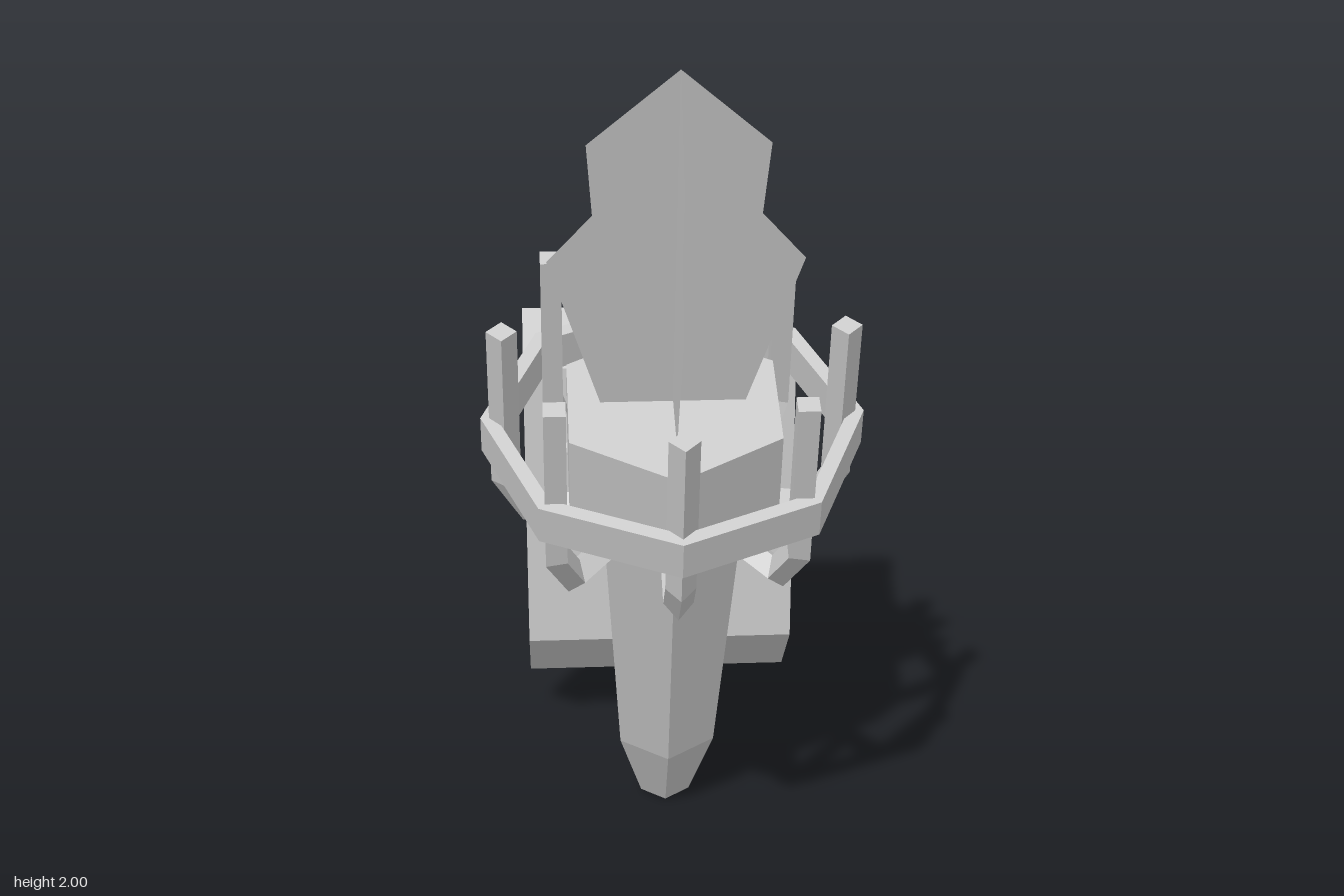
import * as THREE from 'three';

const flat = new THREE.MeshStandardMaterial({ color: 0xcccccc, flatShading: true });
const sheet = new THREE.MeshStandardMaterial({ color: 0xcccccc, side: THREE.DoubleSide });

function add(parent, name, geometry, material = flat) {
  const mesh = new THREE.Mesh(geometry, material);
  mesh.name = name;
  parent.add(mesh);
  return mesh;
}

const vec2 = (list) => list.map(([x, y]) => new THREE.Vector2(x, y));

// Side profile drawn as (-z, y), extruded across x and centred on it
function sideExtrude(shape, width) {
  const g = new THREE.ExtrudeGeometry(shape, { depth: width, bevelEnabled: false, curveSegments: 8 });
  g.translate(0, 0, -width / 2);
  g.rotateY(Math.PI / 2);
  return g;
}

// Diamond-section bar along a path of [radius, height] points, mitred at the bends
function diamondBar(path, r) {
  const pts = vec2(path);
  const positions = [];
  const index = [];
  pts.forEach((p, i) => {
    const a = pts[Math.max(i - 1, 0)];
    const b = pts[Math.min(i + 1, pts.length - 1)];
    const before = (i > 0 ? p.clone().sub(a) : b.clone().sub(p)).normalize();
    const after = (i < pts.length - 1 ? b.clone().sub(p) : before.clone()).normalize();
    const dir = before.clone().add(after).normalize();
    const m = r / dir.dot(before);
    const nx = -dir.y * m;
    const ny = dir.x * m;
    positions.push(0, p.y + ny, p.x + nx, r, p.y, p.x, 0, p.y - ny, p.x - nx, -r, p.y, p.x);
    if (i === 0) return;
    for (let k = 0; k < 4; k++) {
      const c = (i - 1) * 4 + k;
      const d = (i - 1) * 4 + (k + 1) % 4;
      index.push(c, c + 4, d, d, c + 4, d + 4);
    }
  });
  const e = (pts.length - 1) * 4;
  index.push(0, 1, 2, 0, 2, 3, e, e + 2, e + 1, e, e + 3, e + 2);
  const g = new THREE.BufferGeometry();
  g.setAttribute('position', new THREE.Float32BufferAttribute(positions, 3));
  g.setIndex(index);
  g.computeVertexNormals();
  return g;
}

export function createModel() {
  const model = new THREE.Group();
  model.name = 'wallTorch';

  // Wall plate with sloped top and bottom edges
  const plate = new THREE.Shape(vec2([[0.115, 0.32], [0.295, 0.14], [0.295, 1.15], [0.115, 1.06]]));
  add(model, 'wallPlate', sideExtrude(plate, 0.66));

  // Curved hook behind the plate
  const hook = new THREE.Shape();
  hook.moveTo(0.295, 0.515);
  hook.lineTo(0.32, 0.515);
  hook.absellipse(0.32, 0.17, 0.337, 0.345, Math.PI / 2, 0, true);
  hook.lineTo(0.657, 0.14);
  hook.lineTo(0.88, 0.14);
  hook.lineTo(0.88, 0.49);
  hook.absellipse(0.635, 0.49, 0.245, 0.247, 0, Math.PI / 2, false);
  hook.lineTo(0.295, 0.737);
  add(model, 'backHook', sideExtrude(hook, 0.306));

  // Hexagonal rod joining the plate to the handle
  const rod = new THREE.CylinderGeometry(0.1, 0.1, 0.37, 6);
  rod.rotateX(Math.PI / 2);
  add(model, 'supportRod', rod).position.set(0, 0.687, 0.07);

  // Everything on the torch shares one forward-leaning axis
  const torch = new THREE.Group();
  torch.name = 'torch';
  torch.position.set(0, 0.025, 0.075);
  torch.rotation.x = 0.297;
  model.add(torch);

  // Six-sided handle and bowl
  add(torch, 'handle', new THREE.LatheGeometry(
    vec2([[0, 0], [0.068, 0], [0.13, 0.215], [0.175, 0.89]]), 6));
  add(torch, 'bowl', new THREE.LatheGeometry(
    vec2([[0.175, 0.89], [0.265, 1.0], [0.265, 1.23], [0, 1.23]]), 6));

  // Eight-sided ring band
  add(torch, 'ring', new THREE.LatheGeometry(
    vec2([[0.385, 1.1], [0.42, 1.1], [0.42, 1.192], [0.385, 1.192], [0.385, 1.1]]), 8));

  // Eight bent prongs holding the ring
  const prong = diamondBar([[0.14, 0.95], [0.315, 0.925], [0.368, 1.02], [0.368, 1.43]], 0.033);
  for (let i = 0; i < 8; i++) {
    add(torch, 'prong', prong).rotation.y = (i * Math.PI) / 4;
  }

  // Flame of two crossed leaves
  const half = [[0.15, 1.2], [0.27, 1.61], [0.175, 1.725], [0.187, 1.897]];
  const mirrored = half.map(([x, y]) => [-x, y]).reverse();
  const leaf = new THREE.ShapeGeometry(new THREE.Shape(vec2([...half, [0, 2.07], ...mirrored])));
  for (let i = 0; i < 2; i++) {
    add(torch, 'flameLeaf', leaf, sheet).rotation.y = (i * Math.PI) / 2;
  }

  return model;
}
